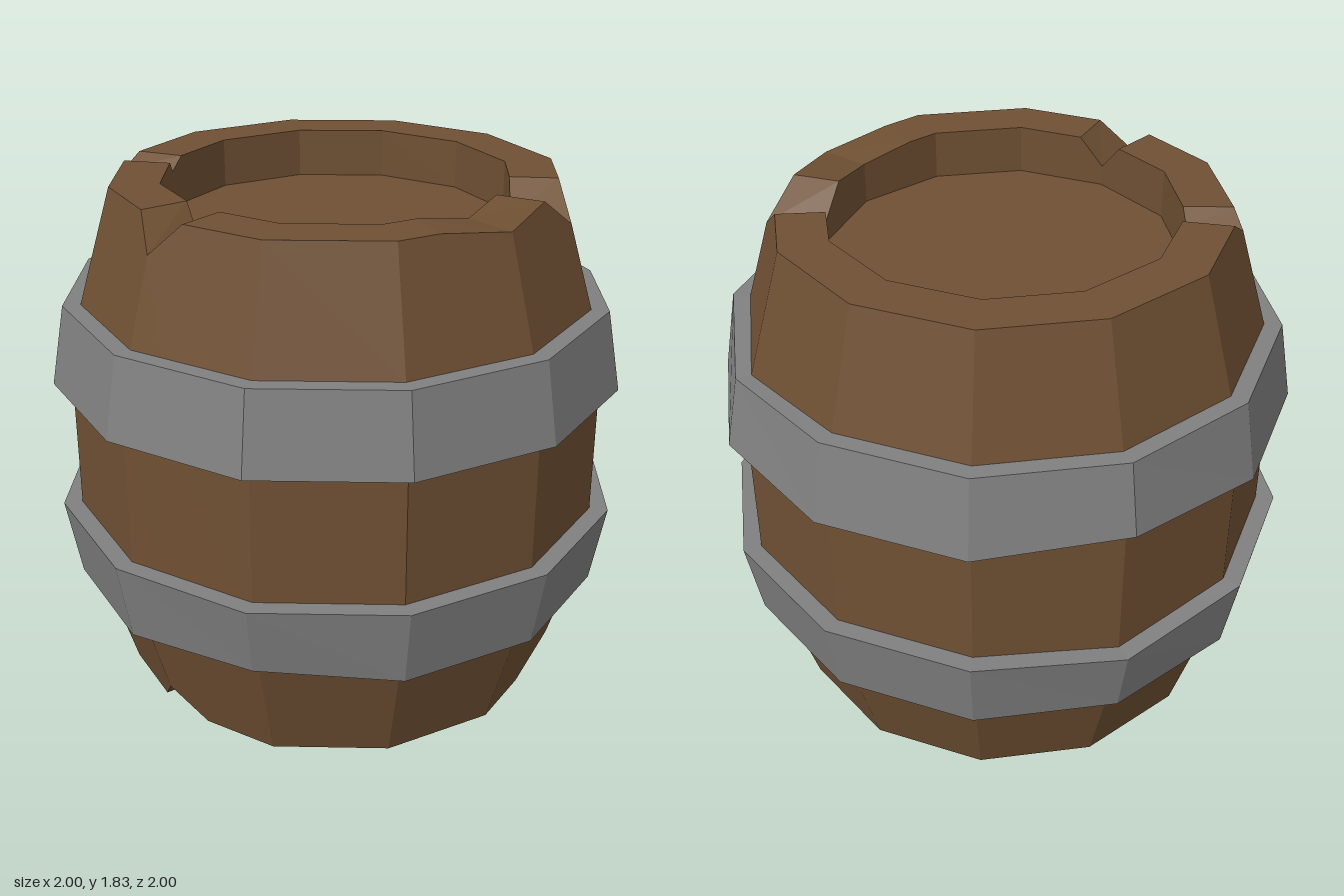
import * as THREE from 'three';

const SIDES = 12;
const STEP = 360 / SIDES;

// Distance factor to the edge of a regular 12-gon (corners at multiples of 30 degrees)
function polygon(deg) {
  const t = (((deg % STEP) + STEP) % STEP) - STEP / 2;
  return Math.cos(THREE.MathUtils.degToRad(STEP / 2)) / Math.cos(THREE.MathUtils.degToRad(t));
}

// Sweeps a [radius, height] profile around the y axis; the profile may vary with the angle
function sweep(angles, profileAt) {
  const rings = angles.map((deg) => {
    const a = THREE.MathUtils.degToRad(deg), k = polygon(deg);
    return profileAt(deg).map(([r, y]) => new THREE.Vector3(r * k * Math.cos(a), y, r * k * Math.sin(a)));
  });
  const points = [];
  rings.forEach((ring, i) => {
    const next = rings[(i + 1) % rings.length];
    for (let j = 0; j < ring.length - 1; j++) {
      const a = ring[j], b = ring[j + 1], c = next[j + 1], d = next[j];
      if (b.distanceTo(c) > 1e-6) points.push(a, b, c);
      if (a.distanceTo(d) > 1e-6) points.push(a, c, d);
    }
  });
  const geometry = new THREE.BufferGeometry().setFromPoints(points);
  geometry.computeVertexNormals();
  return geometry;
}

// V-shaped chips in the rims: centre angle, half width in degrees, depth
const topChips = [[180, 8, 0.11], [60, 11, 0.11], [240, 5, 0.05], [90, 19, 0.03]];
const bottomChips = [[180, 9, 0.12], [60, 11, 0.14]];
const chipDepth = (chips, deg) => Math.max(0, ...chips.map(([at, width, depth]) =>
  depth * (1 - Math.abs(deg - at) / width)));

function bodyGeometry() {
  const angles = new Set();
  for (let i = 0; i < SIDES; i++) angles.add(i * STEP);
  for (const [at, width] of [...topChips, ...bottomChips]) {
    angles.add(at - width);
    angles.add(at + width);
  }
  return sweep([...angles].sort((a, b) => a - b), (deg) => {
    const low = chipDepth(bottomChips, deg), high = chipDepth(topChips, deg);
    return [
      [0, 0.17], [0.6, 0.17], [0.6, low * 0.9], [0.77 + low * 0.3, low],
      [0.89, 0.4], [0.935, 0.55], [0.935, 1.27], [0.89, 1.42],
      [0.77 + high * 0.3, 1.825 - high], [0.6, 1.825 - high * 0.9], [0.6, 1.655], [0, 1.655],
    ];
  });
}

// Metal band; one corner of each edge is slightly dented
function hoopGeometry(bottom, top, bottomDent, topDent) {
  const angles = Array.from({ length: SIDES }, (_, i) => i * STEP);
  return sweep(angles, (deg) => {
    const y0 = bottom.y + (deg === bottomDent ? 0.03 : 0);
    const y1 = top.y - (deg === topDent ? 0.027 : 0);
    return [[0.86, y0], [bottom.r, y0], [top.r, y1], [0.86, y1]];
  });
}

export function createModel() {
  const wood = new THREE.MeshStandardMaterial({ color: 0x6f5033, flatShading: true });
  const metal = new THREE.MeshStandardMaterial({ color: 0x808080, flatShading: true });
  const group = new THREE.Group();
  group.name = 'barrel';

  const add = (name, geometry, material) => {
    const mesh = new THREE.Mesh(geometry, material);
    mesh.name = name;
    group.add(mesh);
  };
  add('woodenBody', bodyGeometry(), wood);
  add('lowerHoop', hoopGeometry({ r: 0.95, y: 0.4 }, { r: 1, y: 0.68 }, 150, 300), metal);
  add('upperHoop', hoopGeometry({ r: 1, y: 1.145 }, { r: 0.95, y: 1.425 }, 300, 30), metal);
  return group;
}
